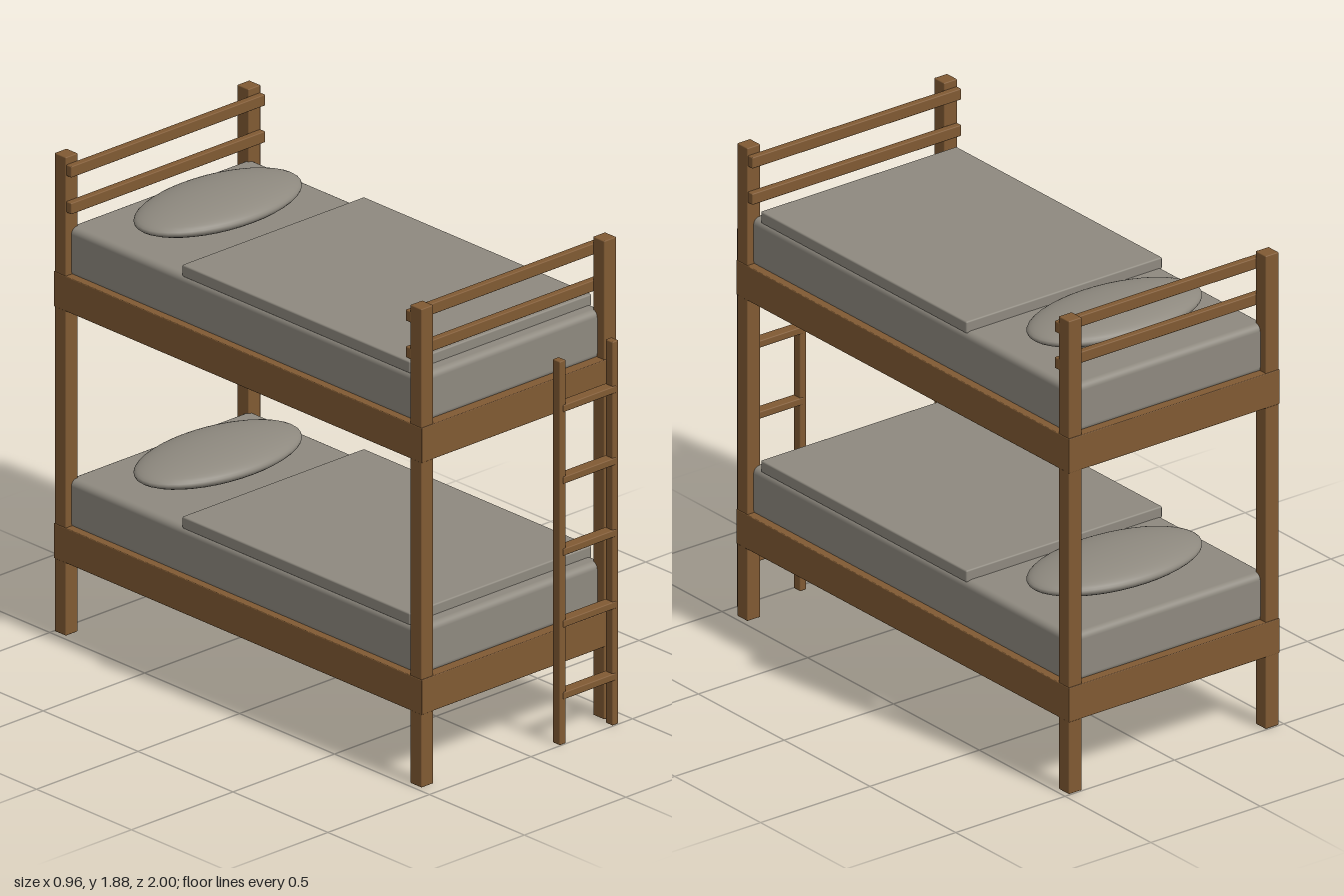
import * as THREE from 'three';
import { RoundedBoxGeometry } from 'three/addons/geometries/RoundedBoxGeometry.js';

export function createModel() {
  const model = new THREE.Group();
  model.name = 'bunkBed';
  const wood = new THREE.MeshStandardMaterial({ name: 'wood', color: 0x805a33 });
  const linen = new THREE.MeshStandardMaterial({ name: 'linen', color: 0x8e897f });

  // Box given by its limits on each axis, with softened edges
  function box(parent, name, material, [x0, x1], [y0, y1], [z0, z1], radius = 0.004) {
    const geometry = new RoundedBoxGeometry(x1 - x0, y1 - y0, z1 - z0, 3, radius);
    const mesh = new THREE.Mesh(geometry, material);
    mesh.position.set((x0 + x1) / 2, (y0 + y1) / 2, (z0 + z1) / 2);
    mesh.name = name;
    parent.add(mesh);
  }

  // Corner posts
  for (const x of [-0.45, 0.45]) {
    for (const z of [0.907, -0.967]) {
      box(model, 'cornerPost', wood, [x - 0.03, x + 0.03], [0, 1.877], [z - 0.03, z + 0.03]);
    }
  }

  // Head and foot rails, on the inner faces of the posts
  for (const z of [0.864, -0.924]) {
    for (const y of [1.827, 1.683]) {
      box(model, 'endRail', wood, [-0.478, 0.478], [y - 0.022, y + 0.022], [z - 0.014, z + 0.014]);
    }
  }

  // Two bunks: frame, mattress, blanket, pillow
  for (const [name, y] of [['lowerBunk', 0.287], ['upperBunk', 1.275]]) {
    const bunk = new THREE.Group();
    bunk.name = name;
    bunk.position.y = y;
    box(bunk, 'bedFrame', wood, [-0.482, 0.482], [0, 0.137], [-1, 0.94], 0.003);
    box(bunk, 'mattress', linen, [-0.452, 0.452], [0.125, 0.317], [-0.965, 0.9], 0.025);
    box(bunk, 'blanket', linen, [-0.448, 0.448], [0.31, 0.357], [-0.359, 0.841], 0.006);
    const pillow = new THREE.Mesh(new THREE.SphereGeometry(1, 40, 24), linen);
    pillow.name = 'pillow';
    pillow.scale.set(0.371, 0.055, 0.2);
    pillow.position.set(0, 0.374, -0.65);
    bunk.add(pillow);
    model.add(bunk);
  }

  // Ladder standing in front of the foot end
  const ladder = new THREE.Group();
  ladder.name = 'ladder';
  for (const x of [0.159, 0.419]) {
    box(ladder, 'ladderStile', wood, [x - 0.015, x + 0.015], [0, 1.505], [0.96, 0.998]);
  }
  for (let i = 0; i < 5; i++) {
    const y = 0.19 + i * 0.2818;
    box(ladder, 'rung', wood, [0.16, 0.42], [y - 0.014, y + 0.014], [0.957, 1.001]);
  }
  model.add(ladder);

  return model;
}
